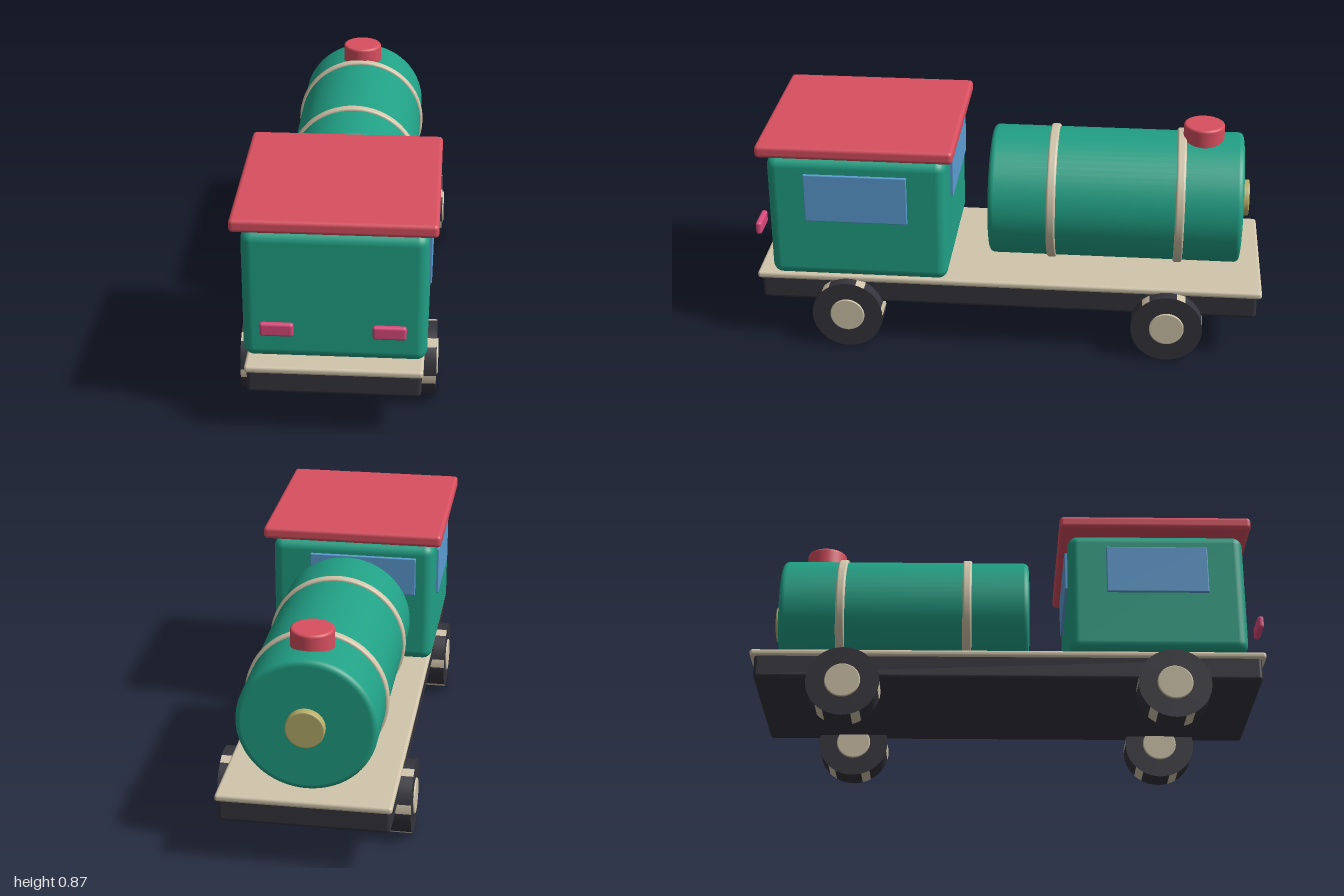
import * as THREE from 'three';
import { RoundedBoxGeometry } from 'three/addons/geometries/RoundedBoxGeometry.js';

const paint = (name, color) => {
  const m = new THREE.MeshStandardMaterial({ color });
  m.name = name;
  return m;
};

export function createModel() {
  const green = paint('green', 0x21a085);
  const red = paint('red', 0xd84f5f);
  const cream = paint('cream', 0xd1c5ab);
  const charcoal = paint('charcoal', 0x35343c);
  const blue = paint('window blue', 0x5c9dd3);
  const brass = paint('brass', 0xb8ae6c);
  const pink = paint('lamp pink', 0xd94a7c);

  const model = new THREE.Group();
  model.name = 'tankTruck';

  const add = (name, geometry, material, x = 0, y = 0, z = 0) => {
    const mesh = new THREE.Mesh(geometry, material);
    mesh.name = name;
    mesh.position.set(x, y, z);
    model.add(mesh);
    return mesh;
  };

  // Rounded box given by its limits on each axis
  const block = (name, material, [x0, x1], [y0, y1], [z0, z1], radius) =>
    add(name, new RoundedBoxGeometry(x1 - x0, y1 - y0, z1 - z0, 4, radius), material,
      (x0 + x1) / 2, (y0 + y1) / 2, (z0 + z1) / 2);

  // Solid disc or drum along y with softened rims
  const drum = (radius, length, bevel) => {
    const h = length / 2, e = bevel * 0.1;
    const points = [new THREE.Vector2(0, -h), new THREE.Vector2(radius - bevel - e, -h)];
    for (const end of [-1, 1]) {
      for (let i = 0; i <= 5; i++) {
        const a = (end < 0 ? i - 5 : i) / 5 * Math.PI / 2;
        points.push(new THREE.Vector2(
          radius - bevel + bevel * Math.cos(a), end * (h - bevel) + bevel * Math.sin(a)));
      }
      if (end < 0) points.push(new THREE.Vector2(radius, -h + bevel + e), new THREE.Vector2(radius, h - bevel - e));
    }
    points.push(new THREE.Vector2(radius - bevel - e, h), new THREE.Vector2(0, h));
    return new THREE.LatheGeometry(points, 64);
  };

  // Chassis and deck
  block('chassis', charcoal, [-0.315, 0.315], [0.175, 0.28], [-0.982, 0.973], 0.015);
  block('deck', cream, [-0.322, 0.322], [0.264, 0.293], [-1, 0.99], 0.012);

  // Cab with an overhanging roof
  block('cab', green, [-0.332, 0.332], [0.292, 0.8], [0.23, 0.925], 0.04);
  block('roof', red, [-0.365, 0.365], [0.812, 0.863], [0.197, 0.957], 0.016);
  block('rearWindow', blue, [-0.26, 0.175], [0.59, 0.75], [0.218, 0.236], 0.004);

  for (const side of [1, -1]) {
    const label = side > 0 ? 'left' : 'right';
    const span = (a, b) => (side > 0 ? [a, b] : [-b, -a]);
    block(label + 'Window', blue, span(0.324, 0.342), [0.54, 0.738], [0.38, 0.78], 0.004);
    block(label + 'Headlight', pink, span(0.14, 0.26), [0.427, 0.479], [0.976, 1], 0.01);
  }

  // Tank with hoops, filler dome and rear cap
  const tankY = 0.548;
  add('tank', drum(0.258, 0.99, 0.02).rotateX(Math.PI / 2), green, 0, tankY, -0.416);
  for (const z of [-0.168, -0.668]) {
    add('tankHoop', drum(0.268, 0.036, 0.008).rotateX(Math.PI / 2), cream, 0, tankY, z);
  }
  add('fillerDome', drum(0.08, 0.1, 0.01), red, 0, 0.815, -0.752);
  add('rearCap', drum(0.072, 0.05, 0.005).rotateX(Math.PI / 2), brass, 0, tankY, -0.917);

  // Wheels: every fourth 15 degree strip of the tread is cream
  const steps = 48;
  const tyre = new THREE.CylinderGeometry(0.14, 0.14, 0.1, steps).rotateZ(Math.PI / 2);
  tyre.clearGroups();
  for (let i = 0; i < 24; i++) tyre.addGroup(i * 12, 12, i % 4 === 3 ? 1 : 0);
  tyre.addGroup(steps * 6, steps * 6, 0);
  const hub = drum(0.068, 0.112, 0.004).rotateZ(Math.PI / 2);
  for (const [end, z] of [['front', 0.627], ['rear', -0.635]]) {
    for (const x of [0.315, -0.315]) {
      const label = end + (x > 0 ? 'Left' : 'Right');
      add(label + 'Tyre', tyre, [charcoal, cream], x, 0.14, z);
      add(label + 'Hub', hub, cream, x, 0.142, z);
    }
  }

  return model;
}
